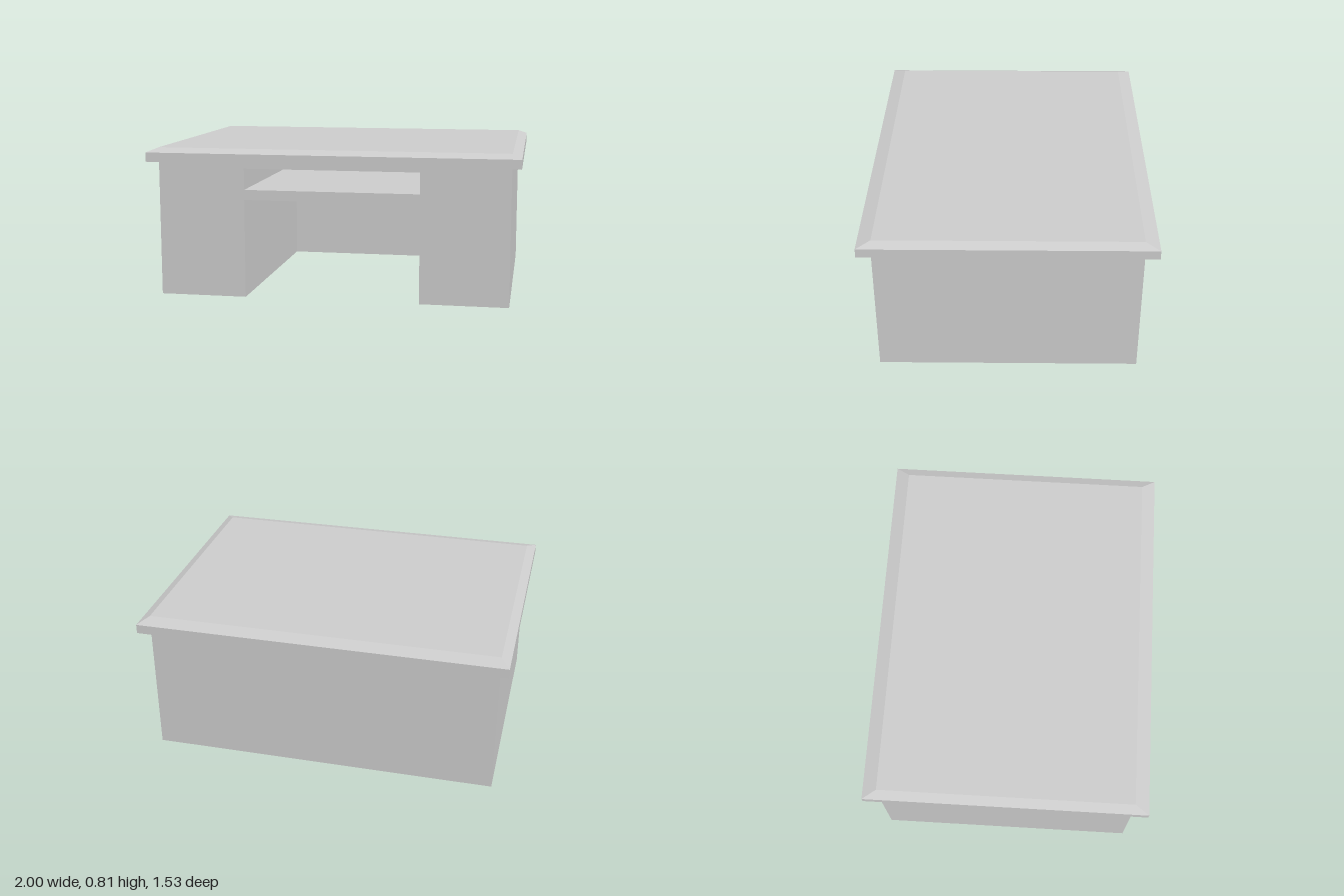
import * as THREE from 'three';

const material = new THREE.MeshStandardMaterial({ color: 0xcccccc, flatShading: true });

const HALF_W = 0.95, HALF_D = 0.695, BODY_H = 0.74;
const OPEN_W = 0.475;           // half width of the knee hole and drawer slot
const BACK_THICKNESS = 0.135;

function addPart(group, name, geometry) {
  const mesh = new THREE.Mesh(geometry, material);
  mesh.name = name;
  group.add(mesh);
  return mesh;
}

// Pedestals, shelf and top rail as one extruded front profile
function bodyGeometry() {
  const profile = new THREE.Shape([
    [-HALF_W, 0], [-OPEN_W, 0], [-OPEN_W, 0.535], [OPEN_W, 0.535],
    [OPEN_W, 0], [HALF_W, 0], [HALF_W, BODY_H], [-HALF_W, BODY_H],
  ].map(([x, y]) => new THREE.Vector2(x, y)));
  profile.holes.push(new THREE.Path([
    [-OPEN_W, 0.59], [-OPEN_W, 0.705], [OPEN_W, 0.705], [OPEN_W, 0.59],
  ].map(([x, y]) => new THREE.Vector2(x, y))));
  const depth = 2 * HALF_D - BACK_THICKNESS;
  return new THREE.ExtrudeGeometry(profile, { depth, bevelEnabled: false })
    .translate(0, 0, -HALF_D + BACK_THICKNESS);
}

// Slab whose upper edge slopes inward to the flat work surface
function tabletopGeometry() {
  const geometry = new THREE.BoxGeometry(2, 2, 1.53, 1, 2, 1);
  const p = geometry.attributes.position;
  for (let i = 0; i < p.count; i++) {
    const level = Math.round(p.getY(i));
    p.setY(i, [BODY_H, 0.79, 0.812][level + 1]);
    if (level === 1) {
      p.setX(i, Math.sign(p.getX(i)) * 0.95);
      p.setZ(i, Math.sign(p.getZ(i)) * 0.69);
    }
  }
  const flat = geometry.toNonIndexed();
  flat.computeVertexNormals();
  return flat;
}

export function createModel() {
  const desk = new THREE.Group();
  desk.name = 'desk';
  addPart(desk, 'deskBody', bodyGeometry());
  addPart(desk, 'backPanel', new THREE.BoxGeometry(2 * HALF_W, BODY_H, BACK_THICKNESS))
    .position.set(0, BODY_H / 2, -HALF_D + BACK_THICKNESS / 2);
  addPart(desk, 'tabletop', tabletopGeometry());
  return desk;
}
